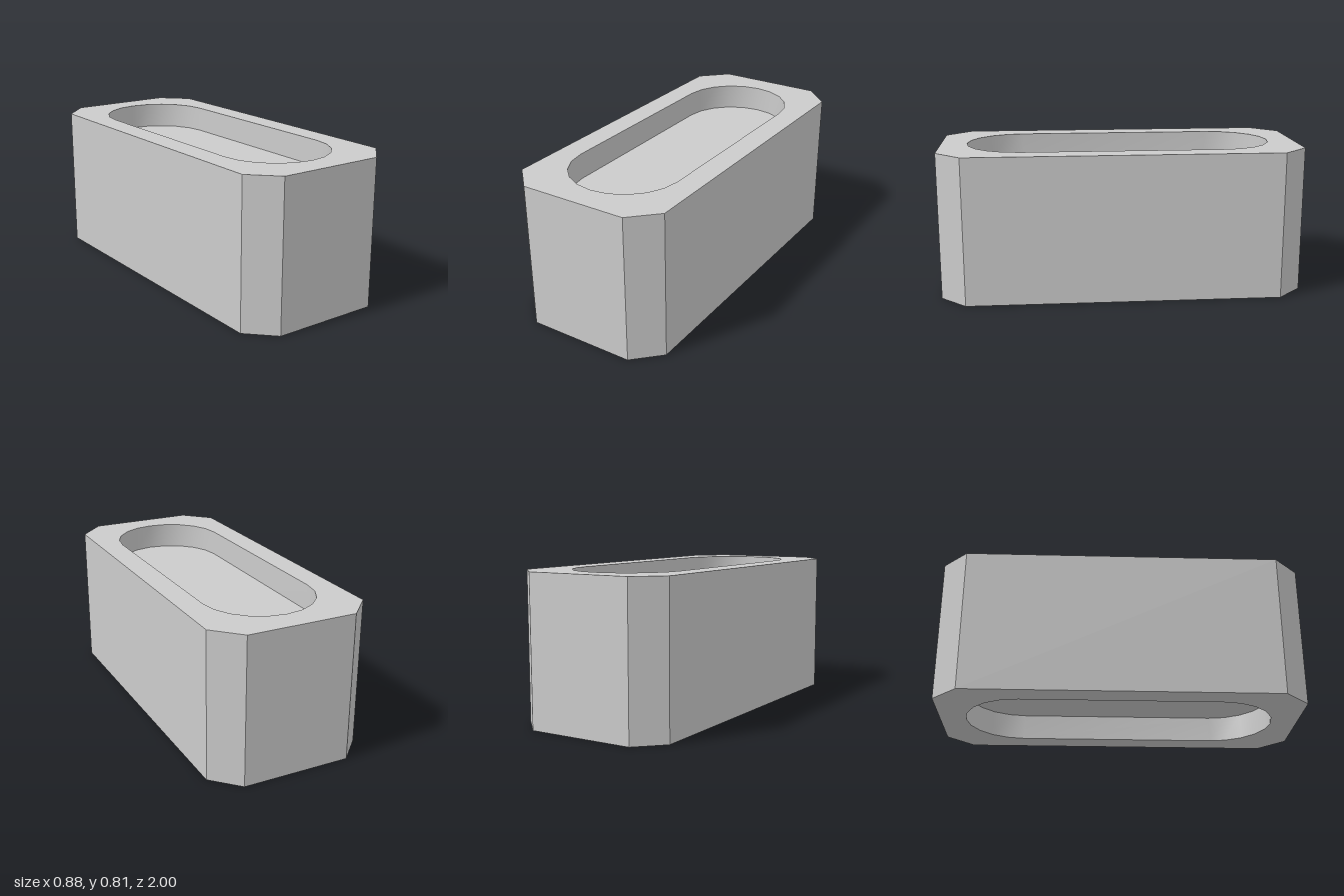
import * as THREE from 'three';
import { toCreasedNormals } from 'three/addons/utils/BufferGeometryUtils.js';

const HEIGHT = 0.81, POCKET_DEPTH = 0.143;

// Chamfered rectangle, counter-clockwise
function blockOutline() {
  const w = 0.44, l = 1, c = 0.14;
  return [[w, c - l], [w, l - c], [w - c, l], [c - w, l], [-w, l - c], [-w, c - l], [c - w, -l], [w - c, -l]]
    .map(([x, y]) => new THREE.Vector2(x, y));
}

// Slot with rounded ends, counter-clockwise
function slotOutline() {
  const r = 0.307, half = 0.548, steps = 10, points = [];
  for (const end of [0, 1]) {
    for (let i = 0; i <= steps; i++) {
      const a = Math.PI * (end + i / steps);
      points.push(new THREE.Vector2(r * Math.cos(a), r * Math.sin(a) + (end ? -half : half)));
    }
  }
  return points;
}

// Upright wall along a closed outline; a reversed outline faces inwards
function wall(points, y0, y1) {
  const pos = [];
  points.forEach((p, i) => {
    const q = points[(i + 1) % points.length];
    const a = [p.x, y0, -p.y], b = [q.x, y0, -q.y], c = [q.x, y1, -q.y], d = [p.x, y1, -p.y];
    pos.push(...a, ...b, ...c, ...a, ...c, ...d);
  });
  const g = new THREE.BufferGeometry();
  g.setAttribute('position', new THREE.Float32BufferAttribute(pos, 3));
  return toCreasedNormals(g, 0.55);
}

// Level face at height y, facing up (1) or down (-1)
function face(points, y, dir, hole) {
  const shape = new THREE.Shape(points);
  if (hole) shape.holes.push(new THREE.Path(hole));
  return new THREE.ShapeGeometry(shape).rotateX(-dir * Math.PI / 2).translate(0, y, 0);
}

export function createModel() {
  const model = new THREE.Group();
  model.name = 'slottedBlock';
  const material = new THREE.MeshStandardMaterial({ color: 0xcccccc });
  const add = (name, geometry) => {
    const mesh = new THREE.Mesh(geometry, material);
    mesh.name = name;
    model.add(mesh);
  };

  const outer = blockOutline(), slot = slotOutline(), inner = [...slot].reverse();
  add('outerWall', wall(outer, 0, HEIGHT));

  // Matching pockets sunk into the top and the underside
  for (const [side, y, dir] of [['top', HEIGHT, 1], ['bottom', 0, -1]]) {
    const floor = y - dir * POCKET_DEPTH;
    add(side + 'Rim', face(outer, y, dir, slot));
    add(side + 'PocketWall', wall(inner, Math.min(y, floor), Math.max(y, floor)));
    add(side + 'PocketFloor', face(slot, floor, dir));
  }
  return model;
}
